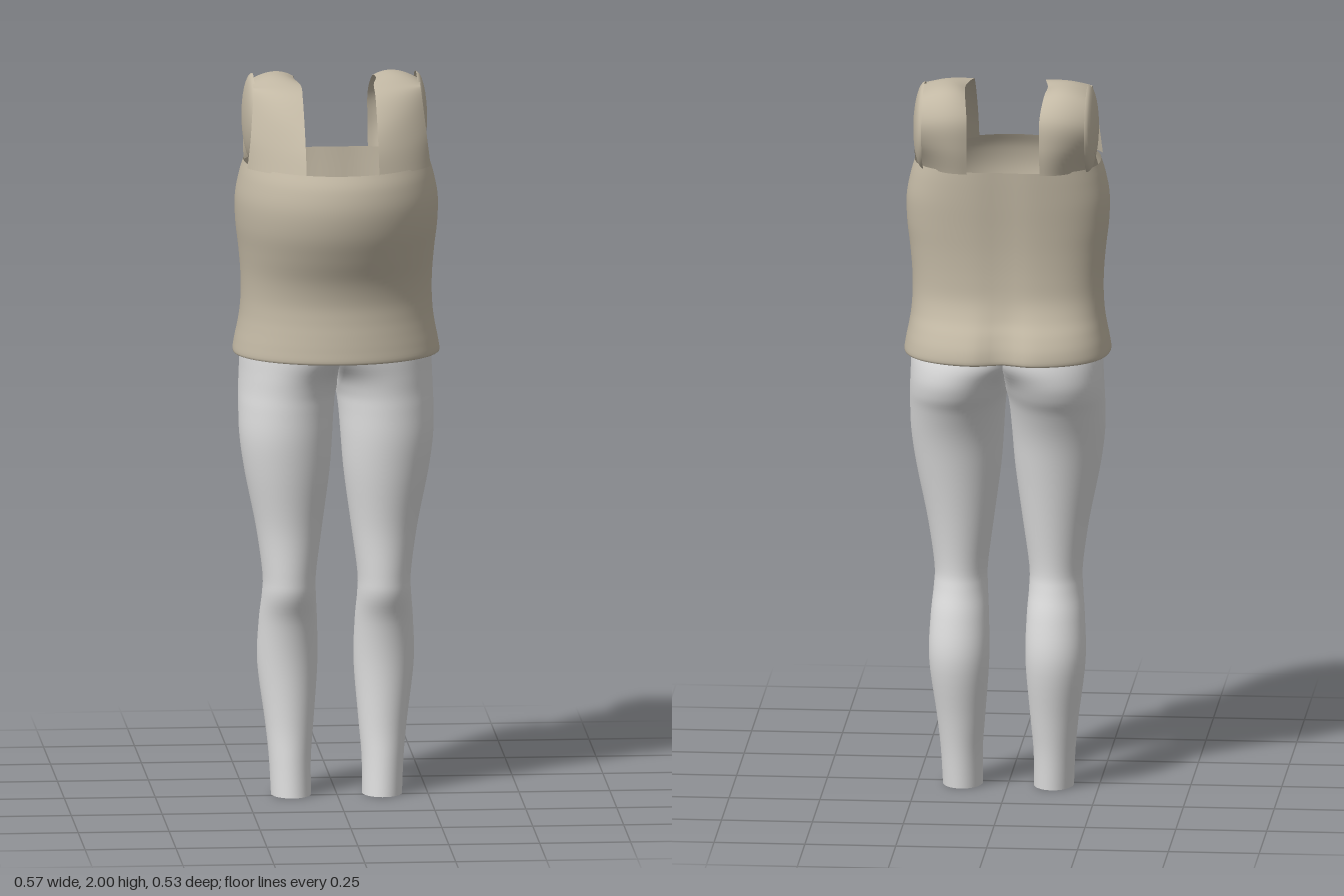
import * as THREE from 'three';

const cloth = new THREE.MeshStandardMaterial({ color: 0xc2b8a4, side: THREE.DoubleSide });
cloth.name = 'beige cloth';
const knit = new THREE.MeshStandardMaterial({ color: 0xdcdcdc, side: THREE.DoubleSide });
knit.name = 'light grey knit';

// Smooth (Catmull-Rom) sample of a list of rows, t from 0 to 1
function sampleRows(rows, t) {
  const n = rows.length - 1;
  const i = Math.min(Math.floor(t * n), n - 1);
  const f = t * n - i;
  const row = k => rows[Math.max(0, Math.min(n, k))];
  const [a, b, c, d] = [row(i - 1), row(i), row(i + 1), row(i + 2)];
  return b.map((q, k) => q + 0.5 * f * (c[k] - a[k] +
    f * (2 * a[k] - 5 * q + 4 * c[k] - d[k] + f * (3 * (q - c[k]) + d[k] - a[k]))));
}

// Grid surface from point(u, v); closed joins u = 1 to u = 0, keep filters triangles
function surface(point, nu, nv, closed, keep = () => true) {
  const pos = [], index = [];
  const cols = closed ? nu : nu + 1;
  for (let j = 0; j <= nv; j++)
    for (let i = 0; i < cols; i++) pos.push(...point(i / nu, j / nv));
  const add = (...tri) => { if (keep(tri.map(k => pos[k * 3]))) index.push(...tri); };
  for (let j = 0; j < nv; j++) {
    for (let i = 0; i < nu; i++) {
      const a = j * cols + i, b = j * cols + (i + 1) % cols;
      add(a, b, b + cols);
      add(a, b + cols, a + cols);
    }
  }
  const g = new THREE.BufferGeometry();
  g.setAttribute('position', new THREE.Float32BufferAttribute(pos, 3));
  g.setIndex(index);
  g.computeVertexNormals();
  return g;
}

function part(name, geometry, material) {
  const m = new THREE.Mesh(geometry, material);
  m.name = name;
  return m;
}

// Leg sections: y, inner x, outer x, front z, back z.
// Inner x below zero means the two halves merge at the middle.
const legRows = [
  [0, 0.07, 0.18, 0.05, -0.095],
  [0.1, 0.07, 0.185, 0.038, -0.103],
  [0.2, 0.062, 0.195, 0.028, -0.118],
  [0.36, 0.05, 0.215, 0.025, -0.146],
  [0.48, 0.052, 0.212, 0.04, -0.132],
  [0.56, 0.057, 0.205, 0.068, -0.112],
  [0.62, 0.057, 0.204, 0.072, -0.105],
  [0.75, 0.04, 0.222, 0.075, -0.12],
  [0.9, 0.02, 0.252, 0.095, -0.145],
  [1.0, 0.012, 0.266, 0.105, -0.168],
  [1.08, 0.006, 0.268, 0.106, -0.2],
  [1.13, -0.003, 0.267, 0.106, -0.228],
  [1.18, -0.03, 0.265, 0.112, -0.243],
  [1.24, -0.11, 0.262, 0.125, -0.243],
  [1.32, -0.19, 0.25, 0.13, -0.21],
  [1.4, -0.24, 0.24, 0.13, -0.18],
];

function legPoint(u, v) {
  const [y, xi, xo, zf, zb] = sampleRows(legRows, v);
  const a = -u * Math.PI * 2;
  const x = (xi + xo) / 2 + (xo - xi) / 2 * Math.cos(a);
  const z = (zf + zb) / 2 + (zf - zb) / 2 * Math.sin(a);
  return [Math.max(0, x), y, z];
}

// Shirt body sections: y, half width, front z, back z; the first is the turned hem
const bodyRows = [
  [1.238, 0.268, 0.176, -0.24],
  [1.236, 0.283, 0.195, -0.264],
  [1.27, 0.279, 0.194, -0.26],
  [1.31, 0.271, 0.19, -0.24],
  [1.35, 0.265, 0.186, -0.214],
  [1.4, 0.262, 0.186, -0.195],
  [1.46, 0.263, 0.2, -0.19],
  [1.53, 0.269, 0.23, -0.19],
  [1.6, 0.277, 0.256, -0.194],
  [1.67, 0.278, 0.266, -0.2],
  [1.73, 0.267, 0.257, -0.205],
  [1.77, 0.255, 0.238, -0.208],
];

function bodyPoint(u, v) {
  const [y, hw, zf, zb] = sampleRows(bodyRows, v);
  const a = -u * Math.PI * 2, mid = -0.03;
  const c = Math.cos(a), s = Math.sin(a);
  if (s >= 0) return [hw * c, y, mid + (zf - mid) * s];
  // fuller back with a groove down the middle
  const p = 2 / 2.6;
  const x = hw * Math.sign(c) * Math.abs(c) ** p;
  const low = 1 - THREE.MathUtils.smoothstep(y, 1.25, 1.42);
  const groove = (0.006 + 0.022 * low) * Math.exp(-((x / 0.05) ** 2));
  return [x, y, mid + (zb - mid) * Math.abs(s) ** p + groove];
}

// Shoulder strap from chest over the top to the back:
// three points per row, at the neck edge, middle and armhole edge
const strapRows = [
  [0.1, 1.765, 0.219, 0.195, 1.765, 0.146, 0.252, 1.765, 0.07],
  [0.1, 1.83, 0.188, 0.185, 1.835, 0.128, 0.243, 1.84, 0.064],
  [0.1, 1.9, 0.137, 0.175, 1.91, 0.095, 0.235, 1.92, 0.032],
  [0.1, 1.96, 0.074, 0.168, 1.963, 0.052, 0.23, 1.967, 0.004],
  [0.1, 1.982, 0.01, 0.167, 1.985, 0, 0.23, 1.975, -0.02],
  [0.113, 1.985, -0.08, 0.17, 1.998, -0.08, 0.235, 1.975, -0.08],
  [0.108, 1.975, -0.16, 0.168, 1.985, -0.17, 0.237, 1.96, -0.16],
  [0.1, 1.92, -0.212, 0.168, 1.92, -0.222, 0.238, 1.9, -0.195],
  [0.1, 1.84, -0.216, 0.172, 1.84, -0.215, 0.247, 1.83, -0.16],
  [0.1, 1.765, -0.202, 0.178, 1.765, -0.178, 0.252, 1.765, -0.07],
];

function strapPoint(u, v) {
  const r = sampleRows(strapRows, v);
  const wa = (1 - u) * (1 - 2 * u), wb = 4 * u * (1 - u), wc = u * (2 * u - 1);
  return [0, 1, 2].map(k => wa * r[k] + wb * r[k + 3] + wc * r[k + 6]);
}

// Flattened dome closing the sleeve
function sleeveCap() {
  const g = new THREE.SphereGeometry(1, 28, 8, 0, Math.PI * 2, 0, Math.PI / 2);
  g.rotateZ(-Math.PI / 2);
  g.scale(0.03, 0.121, 0.119);
  g.translate(0.224, 1.876, -0.102);
  g.computeVertexNormals();
  return g;
}

export function createModel() {
  const model = new THREE.Group();
  model.name = 'outfit';

  const shirt = new THREE.Group();
  shirt.name = 'shirt';
  shirt.add(part('shirtBody', surface(bodyPoint, 96, 55, true), cloth));

  const leggings = new THREE.Group();
  leggings.name = 'leggings';

  // Halves are built on the left and mirrored to the right
  const leg = surface(legPoint, 64, 75, true, xs => xs.some(x => x > 1e-5));
  const strap = surface(strapPoint, 14, 54, false);
  const cap = sleeveCap();
  for (const [side, sx] of [['left', 1], ['right', -1]]) {
    const legMesh = part(side + 'Leg', leg, knit);
    const strapMesh = part(side + 'Strap', strap, cloth);
    const capMesh = part(side + 'SleeveCap', cap, cloth);
    for (const m of [legMesh, strapMesh, capMesh]) m.scale.x = sx;
    leggings.add(legMesh);
    shirt.add(strapMesh, capMesh);
  }

  model.add(shirt, leggings);
  return model;
}
